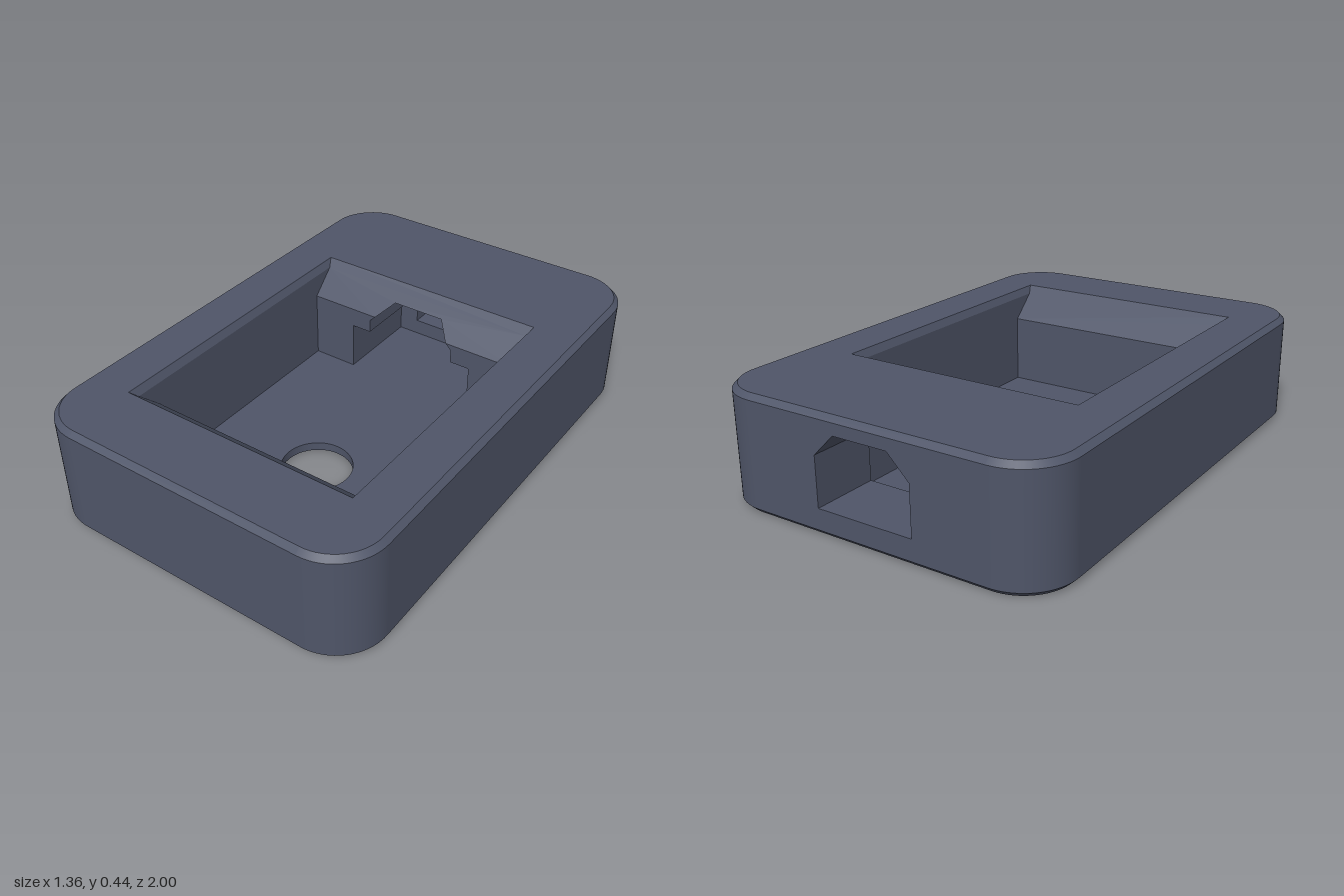
import * as THREE from 'three';

const H = 0.44, CH = 0.02;            // body height, edge chamfer
const FLOOR = 0.035, SLOPE = 0.315;   // pocket floor, foot of the sloped walls
const BACK = -0.365, FRONT = 0.585;   // vertical pocket walls
const SLOT = -0.74;                   // rear end of the plug slot
const BORES = [[0.47, -0.785], [-0.47, -0.785], [0, 0.785]];

// Outline of the body: four corner arcs, each entry [x, z, normalX, normalZ]
function ring(r) {
  const pts = [];
  [[0.48, -0.8], [0.48, 0.8], [-0.48, 0.8], [-0.48, -0.8]].forEach(([cx, cz], k) => {
    for (let i = 0; i <= 16; i++) {
      const a = (k - 1 + i / 16) * Math.PI / 2;
      pts.push([cx + r * Math.cos(a), cz + r * Math.sin(a), Math.cos(a), Math.sin(a)]);
    }
  });
  return pts;
}

function circle(cx, cy, r, n = 48) {
  return Array.from({ length: n }, (_, i) => {
    const a = i / n * Math.PI * 2;
    return [cx + r * Math.cos(a), cy + r * Math.sin(a)];
  });
}

// Band between two outlines, smooth round the corners
function band(r0, y0, r1, y1, closed) {
  const lo = ring(r0), hi = ring(r1), n = lo.length, pos = [], nor = [], idx = [];
  const slope = new THREE.Vector2(y1 - y0, r0 - r1).normalize();
  for (let i = 0; i < n; i++) {
    pos.push(lo[i][0], y0, lo[i][1], hi[i][0], y1, hi[i][1]);
    for (let k = 0; k < 2; k++) nor.push(lo[i][2] * slope.x, slope.y, lo[i][3] * slope.x);
  }
  for (let i = 0; i < (closed ? n : n - 1); i++) {
    const a = 2 * i, b = 2 * ((i + 1) % n);
    idx.push(a, a + 1, b, b, a + 1, b + 1);
  }
  const g = new THREE.BufferGeometry();
  g.setAttribute('position', new THREE.Float32BufferAttribute(pos, 3));
  g.setAttribute('normal', new THREE.Float32BufferAttribute(nor, 3));
  g.setIndex(idx);
  return g;
}

// Flat panel drawn in 2D and placed in space by a rule (u, v) -> [x, y, z]
function panel(points, place, holes = []) {
  const vec = list => list.map(p => new THREE.Vector2(p[0], p[1]));
  const shape = new THREE.Shape(vec(points));
  holes.forEach(h => shape.holes.push(new THREE.Path(vec(h))));
  const g = new THREE.ShapeGeometry(shape);
  const p = g.attributes.position;
  for (let i = 0; i < p.count; i++) p.setXYZ(i, ...place(p.getX(i), p.getY(i)));
  g.computeVertexNormals();
  return g;
}

const rect = (u0, v0, u1, v1) => [[u0, v0], [u1, v0], [u1, v1], [u0, v1]];
const atX = x => (z, y) => [x, y, z];
const atY = y => (x, z) => [x, y, z];
const atZ = z => (x, y) => [x, y, z];

export function createModel() {
  const model = new THREE.Group();
  const slate = new THREE.MeshStandardMaterial({ color: 0x4f5568, side: THREE.DoubleSide });
  slate.name = 'slate';
  const add = (name, geometry) => {
    const m = new THREE.Mesh(geometry, slate);
    m.name = name;
    model.add(m);
    return m;
  };

  // Outer shell
  add('bottomChamfer', band(0.18, 0, 0.2, CH, true));
  add('outerWall', band(0.2, CH, 0.2, H - CH, false));
  add('topChamfer', band(0.2, H - CH, 0.18, H, true));
  const port = [[-0.195, 0.1], [0.195, 0.1], [0.195, 0.29], [0.11, 0.375], [-0.11, 0.375], [-0.195, 0.29]];
  add('backWall', panel(rect(-0.48, CH, 0.48, H - CH), atZ(-1), [port]));
  add('topFace', panel(ring(0.18), atY(H), [rect(-0.485, -0.49, 0.485, 0.715)]));
  const drain = circle(0, 0.27, 0.138);
  add('bottomFace', panel(ring(0.18), atY(0), [drain, ...BORES.map(([x, z]) => circle(x, z, 0.15))]));

  // Blind bores in the underside and the through hole in the floor
  const tube = (name, x, z, r, h) => {
    add(name, new THREE.CylinderGeometry(r, r, h, 48, 1, true)).position.set(x, h / 2, z);
  };
  BORES.forEach(([x, z]) => {
    tube('bore', x, z, 0.15, 0.28);
    add('boreEnd', panel(circle(x, z, 0.15), atY(0.28)));
  });
  tube('floorHole', 0, 0.27, 0.138, FLOOR);

  // Pocket floor and front wall
  add('pocketFloor', panel(rect(-0.47, BACK, 0.47, FRONT), atY(FLOOR), [drain]));
  add('pocketFront', panel(rect(-0.47, FLOOR, 0.47, SLOPE), atZ(FRONT)));
  const frontZ = y => FRONT + (y - SLOPE) * 1.04;
  add('frontSlope', panel(
    [[-0.47, SLOPE], [0.47, SLOPE], [0.47, 0.41], [0.485, H], [-0.485, H], [-0.47, 0.41]],
    (x, y) => [x, y, frontZ(y)]));

  // Back slope, notched by the cable channel
  add('backSlope', panel(
    [[0.17, SLOPE], [0.47, SLOPE], [0.47, 0.41], [0.485, H], [-0.485, H], [-0.47, 0.41],
      [-0.47, SLOPE], [-0.17, SLOPE], [-0.11, 0.375], [0.11, 0.375]],
    (x, y) => [x, y, -0.05 - y]));

  // Mirrored sides of the pocket, channel and plug slot
  for (const s of [1, -1]) {
    add('pocketSide', panel(
      [[-0.46, 0.41], [BACK, SLOPE], [BACK, FLOOR], [FRONT, FLOOR], [FRONT, SLOPE], [frontZ(0.41), 0.41]],
      atX(s * 0.47)));
    add('pocketLip', panel(
      [[-0.46, 0.41], [frontZ(0.41), 0.41], [0.715, H], [-0.49, H]],
      (z, y) => [s * (0.47 + (y - 0.41) / 2), y, z]));
    add('pocketBack', panel(
      [[0.28, FLOOR], [0.47, FLOOR], [0.47, SLOPE], [0.17, SLOPE], [0.195, 0.29], [0.195, 0.235], [0.28, 0.235]],
      (x, y) => [s * x, y, BACK]));
    add('channelBevel', panel(
      [[-1, 0.29], [BACK, 0.29], [BACK, SLOPE], [-0.425, 0.375], [-1, 0.375]],
      (z, y) => [s * (0.485 - y), y, z]));
    add('channelSide', panel(
      [[-1, 0.1], [SLOT, 0.1], [SLOT, 0.235], [BACK, 0.235], [BACK, 0.29], [-1, 0.29]],
      atX(s * 0.195)));
    add('slotSide', panel(rect(SLOT, FLOOR, BACK, 0.235), atX(s * 0.28)));
    add('slotCeiling', panel(rect(0.195, SLOT, 0.28, BACK), (x, z) => [s * x, 0.235, z]));
  }

  // Cable channel and plug slot
  add('channelCeiling', panel(rect(-0.11, -1, 0.11, -0.425), atY(0.375)));
  add('channelFloor', panel(rect(-0.195, -1, 0.195, SLOT), atY(0.1)));
  add('slotFloor', panel(rect(-0.28, SLOT, 0.28, BACK), atY(FLOOR)));
  add('slotEnd', panel(
    [[-0.28, FLOOR], [0.28, FLOOR], [0.28, 0.235], [0.195, 0.235], [0.195, 0.1],
      [-0.195, 0.1], [-0.195, 0.235], [-0.28, 0.235]], atZ(SLOT)));

  return model;
}
